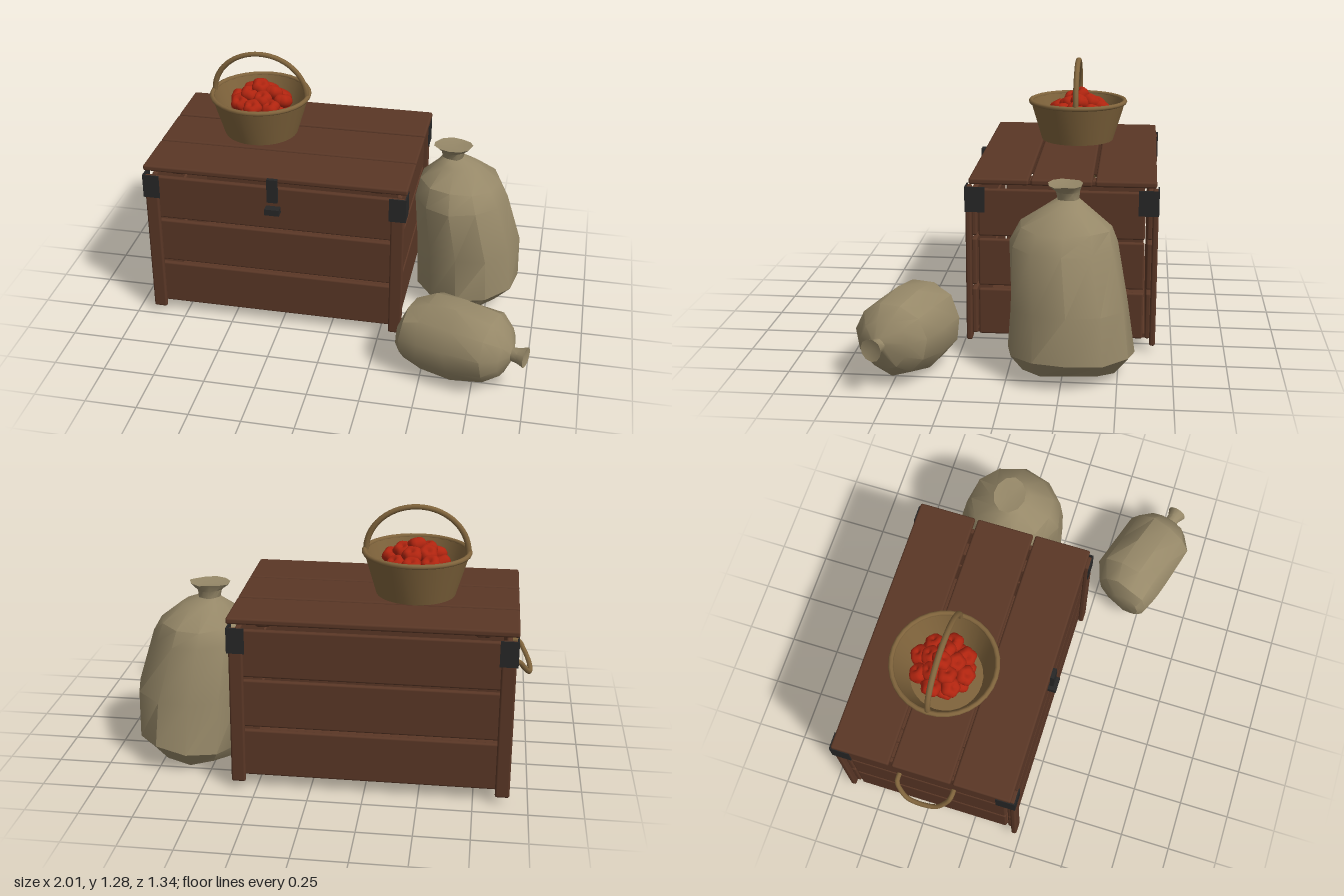
import * as THREE from 'three';
import { toCreasedNormals } from 'three/addons/utils/BufferGeometryUtils.js';
import { RoundedBoxGeometry } from 'three/addons/geometries/RoundedBoxGeometry.js';

const mat = (name, color, side = THREE.FrontSide) => {
  const m = new THREE.MeshStandardMaterial({ color, side });
  m.name = name;
  return m;
};

export function createModel() {
  const wood = mat('brown wood', 0x5a3726);
  const metal = mat('dark iron', 0x272727);
  const burlap = mat('burlap', 0x968868);
  const wicker = mat('wicker', 0x80643c, THREE.DoubleSide);
  const red = mat('red fruit', 0xb0240f);

  const model = new THREE.Group();
  const group = (name) => {
    const g = new THREE.Group();
    g.name = name;
    model.add(g);
    return g;
  };
  const add = (parent, name, geometry, material) => {
    const m = new THREE.Mesh(geometry, material);
    m.name = name;
    parent.add(m);
    return m;
  };
  // Box given by its min and max on each axis, with softened edges if r > 0
  const box = (parent, name, material, [x0, x1], [y0, y1], [z0, z1], r = 0) => {
    const s = [x1 - x0, y1 - y0, z1 - z0];
    const g = r ? new RoundedBoxGeometry(...s, 2, r) : new THREE.BoxGeometry(...s);
    const m = add(parent, name, g, material);
    m.position.set((x0 + x1) / 2, (y0 + y1) / 2, (z0 + z1) / 2);
    return m;
  };

  // ---- Chest ----
  const chest = group('chest');
  const CX = -0.275, CZ = -0.22;
  for (const y of [[0.067, 0.295], [0.313, 0.543], [0.558, 0.787]]) {
    for (const s of [-1, 1]) {
      const z = CZ + s * 0.413, x = CX + s * 0.607;
      box(chest, 'longPlank', wood, [-0.89, 0.34], y, [z - 0.013, z + 0.013], 0.009);
      box(chest, 'endPlank', wood, [x - 0.013, x + 0.013], y, [-0.61, 0.172], 0.009);
    }
  }
  box(chest, 'floorPanel', wood, [-0.88, 0.33], [0.07, 0.09], [-0.62, 0.18]);

  // Corner posts with iron brackets on both faces
  for (const sx of [-1, 1]) for (const sz of [-1, 1]) {
    const x = CX + sx * 0.608, z = CZ + sz * 0.437;
    box(chest, 'cornerPost', wood, [x - 0.033, x + 0.033], [0.04, 0.8], [z - 0.014, z + 0.014], 0.01);
    const xo = CX + sx * 0.649, zo = CZ + sz * 0.453;
    const span = (a, b) => [Math.min(a, b), Math.max(a, b)];
    box(chest, 'bracketFace', metal, span(xo, xo - sx * 0.082), [0.682, 0.803], span(zo, zo - sz * 0.006));
    box(chest, 'bracketSide', metal, span(xo, xo - sx * 0.006), [0.682, 0.803], span(zo, zo - sz * 0.095));
  }

  // Lid planks on two battens
  for (const z of [[-0.66, -0.377], [-0.363, -0.077], [-0.067, 0.213]])
    box(chest, 'lidPlank', wood, [-0.925, 0.377], [0.816, 0.846], z, 0.01);
  for (const x of [-0.767, 0.22])
    box(chest, 'lidBatten', wood, [x - 0.034, x + 0.034], [0.785, 0.818], [-0.6, 0.165], 0.012);

  // Latch and catch
  box(chest, 'latch', metal, [-0.302, -0.25], [0.718, 0.842], [0.213, 0.232]);
  box(chest, 'catch', metal, [-0.312, -0.24], [0.655, 0.687], [0.2, 0.247]);

  // Rope handle hanging from the end of the chest
  const half = [[-0.89, 0.582, 0.137], [-0.935, 0.582, 0.135], [-0.96, 0.548, 0.115], [-0.986, 0.507, 0.065]];
  const pts = [
    ...half.map(([x, y, z]) => new THREE.Vector3(x, y, CZ + z)),
    ...half.slice().reverse().map(([x, y, z]) => new THREE.Vector3(x, y, CZ - z)),
  ];
  add(chest, 'sideHandle', new THREE.TubeGeometry(new THREE.CatmullRomCurve3(pts), 32, 0.012, 8), wicker);

  // ---- Basket ----
  const basket = group('basket');
  basket.position.set(-0.445, 0.865, -0.25);
  const wall = [[0, 0], [0.185, 0], [0.245, 0.2], [0.232, 0.2], [0.172, 0.015], [0, 0.015]]
    .map(([x, y]) => new THREE.Vector2(x, y));
  add(basket, 'basketBowl', toCreasedNormals(new THREE.LatheGeometry(wall, 28), 0.6), wicker);
  const rim = add(basket, 'basketRim', new THREE.TorusGeometry(0.243, 0.012, 8, 32), wicker);
  rim.rotation.x = Math.PI / 2;
  rim.position.y = 0.2;
  const arch = add(basket, 'basketHandle', new THREE.TorusGeometry(0.236, 0.014, 8, 28, Math.PI), wicker);
  arch.position.y = 0.2;
  arch.scale.y = 0.89;

  // Lobed fruit, dimpled at the top
  const fruit = new THREE.SphereGeometry(0.047, 20, 12);
  const p = fruit.attributes.position;
  for (let i = 0; i < p.count; i++) {
    const x = p.getX(i), y = p.getY(i), z = p.getZ(i), r = Math.hypot(x, z);
    const lobe = 1 + 0.08 * Math.cos(5 * Math.atan2(z, x)) * (r / 0.047);
    const dimple = y > 0 ? 0.018 * Math.max(0, 1 - r / 0.025) : 0;
    p.setXYZ(i, x * lobe, y * 0.8 - dimple, z * lobe);
  }
  fruit.computeVertexNormals();
  for (const [n, radius, y] of [[8, 0.115, 0.165], [9, 0.105, 0.12], [5, 0.062, 0.2], [1, 0, 0.232]]) {
    for (let i = 0; i < n; i++) {
      const a = (i / n) * Math.PI * 2 + n;
      const f = add(basket, 'fruit', fruit, red);
      f.position.set(Math.cos(a) * radius, y + 0.008 * Math.sin(i * 2.3), Math.sin(a) * radius - 0.01);
      f.rotation.set(0.5 * Math.sin(a), i * 1.3, -0.5 * Math.cos(a));
    }
  }

  // ---- Sacks: rings of [y, centre x, centre z, radius x, radius z, tilt] ----
  const sack = (name, rings, seed) => {
    const rand = () => ((seed = (seed * 16807) % 2147483647) / 2147483647);
    const N = 11, verts = [], idx = [];
    for (const [y, cx, cz, rx, rz, tilt = 0] of rings) {
      for (let j = 0; j < N; j++) {
        const a = (j / N) * Math.PI * 2, k = 1 + (rand() - 0.5) * 0.07;
        const x = Math.cos(a) * rx * k;
        verts.push(cx + x, y + tilt * x + (rand() - 0.5) * 0.1 * rx, cz + Math.sin(a) * rz * k);
      }
    }
    const last = rings.length - 1, b = rings.length * N;
    for (let j = 0; j < N; j++) {
      const n = (j + 1) % N;
      for (let i = 0; i < last; i++) {
        const p0 = i * N + j, p2 = i * N + n;
        idx.push(p0, p0 + N, p2, p2, p0 + N, p2 + N);
      }
      idx.push(b, j, n, b + 1, last * N + n, last * N + j);
    }
    const [f, t] = [rings[0], rings[last]];
    verts.push(f[1], f[0], f[2], t[1], t[0] - 0.012, t[2]);
    const g = new THREE.BufferGeometry();
    g.setAttribute('position', new THREE.Float32BufferAttribute(verts, 3));
    g.setIndex(idx);
    return add(model, name, toCreasedNormals(g, 0.65), burlap);
  };

  sack('standingSack', [
    [0.035, 0.63, -0.28, 0.2, 0.225, 0.12],
    [0.11, 0.645, -0.285, 0.262, 0.285, 0.12],
    [0.35, 0.632, -0.275, 0.262, 0.27, 0.04],
    [0.61, 0.585, -0.25, 0.23, 0.248],
    [0.695, 0.575, -0.255, 0.195, 0.215],
    [0.775, 0.565, -0.255, 0.105, 0.1],
    [0.805, 0.537, -0.262, 0.052, 0.05],
    [0.84, 0.535, -0.258, 0.06, 0.055],
    [0.873, 0.535, -0.25, 0.096, 0.08],
  ], 7);

  const lying = sack('lyingSack', [
    [0.51, 0, 0.06, 0.08, 0.08],
    [0.545, 0, 0.025, 0.15, 0.145],
    [0.63, 0, 0, 0.195, 0.182],
    [0.78, 0, 0, 0.2, 0.185],
    [0.95, -0.01, 0, 0.17, 0.178],
    [1.015, -0.01, 0, 0.115, 0.115],
    [1.05, -0.015, 0.01, 0.033, 0.033],
    [1.08, -0.015, 0.01, 0.036, 0.036],
    [1.115, -0.015, 0.01, 0.052, 0.05],
  ], 23);
  lying.rotation.set(0, -0.3, -Math.PI / 2, 'YXZ');
  lying.position.set(-0.068, 0.21, 0.22);

  return model;
}
